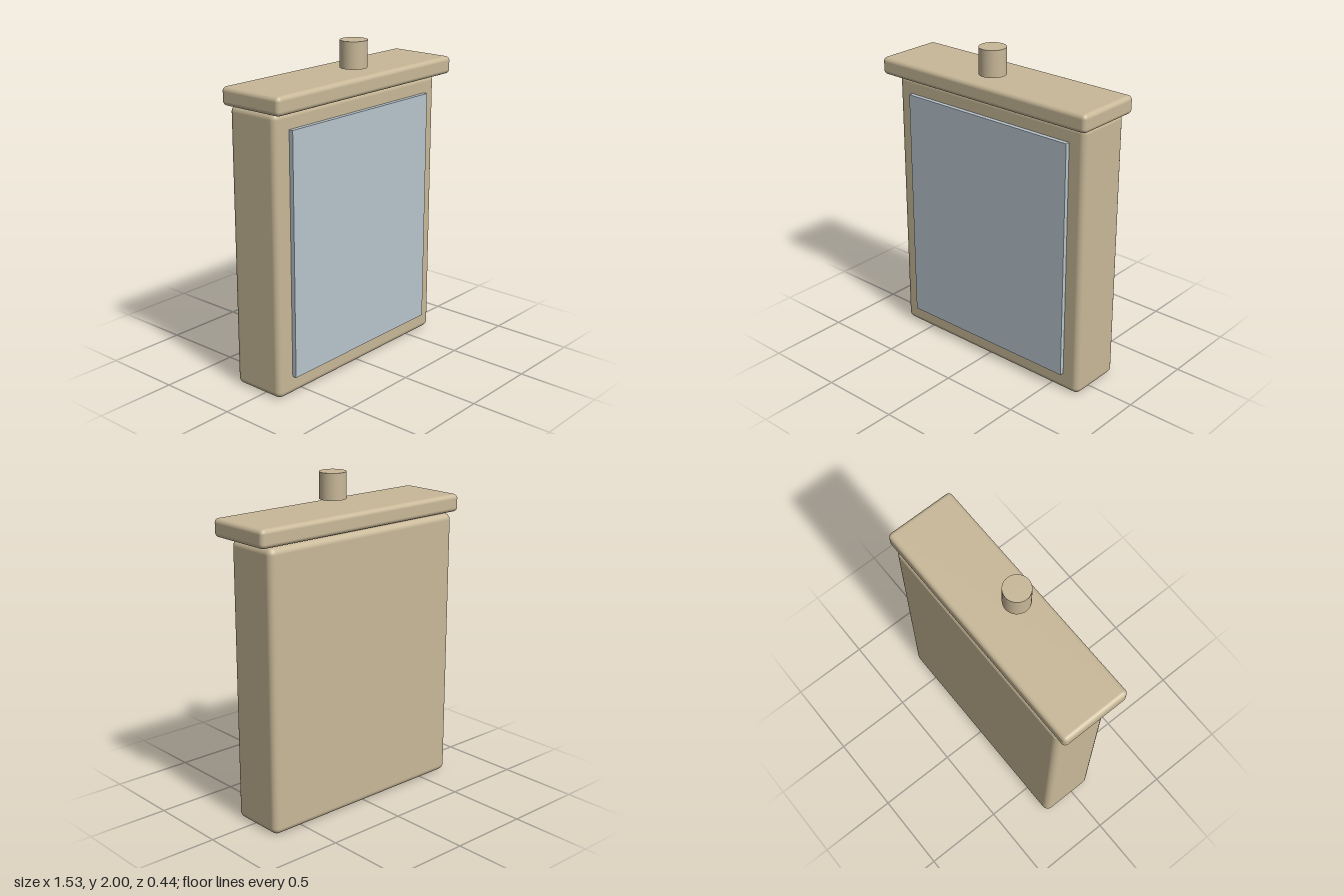
import * as THREE from 'three';
import { RoundedBoxGeometry } from 'three/addons/geometries/RoundedBoxGeometry.js';

export function createModel() {
  const group = new THREE.Group();
  const tan = new THREE.MeshStandardMaterial({ color: 0xc8b898 });
  tan.name = 'tan';
  const paleBlue = new THREE.MeshStandardMaterial({ color: 0xb8c4cc });
  paleBlue.name = 'pale blue grey';

  const add = (name, geometry, material, x, y, z) => {
    const mesh = new THREE.Mesh(geometry, material);
    mesh.name = name;
    mesh.position.set(x, y, z);
    group.add(mesh);
  };

  // Tall case with softened edges, flush with the lid at the back
  add('body', new RoundedBoxGeometry(1.42, 1.7, 0.354, 4, 0.04), tan, 0, 0.85, -0.041);

  // Overhanging lid
  add('lid', new RoundedBoxGeometry(1.53, 0.108, 0.436, 4, 0.027), tan, 0, 1.757, 0);

  // Raised front panel
  add('frontPanel', new THREE.BoxGeometry(1.2, 1.48, 0.032), paleBlue, 0, 0.855, 0.147);

  // Knob hovering just above the lid
  add('knob', new THREE.CylinderGeometry(0.081, 0.081, 0.16, 32), tan, 0, 1.92, 0.081);

  return group;
}
